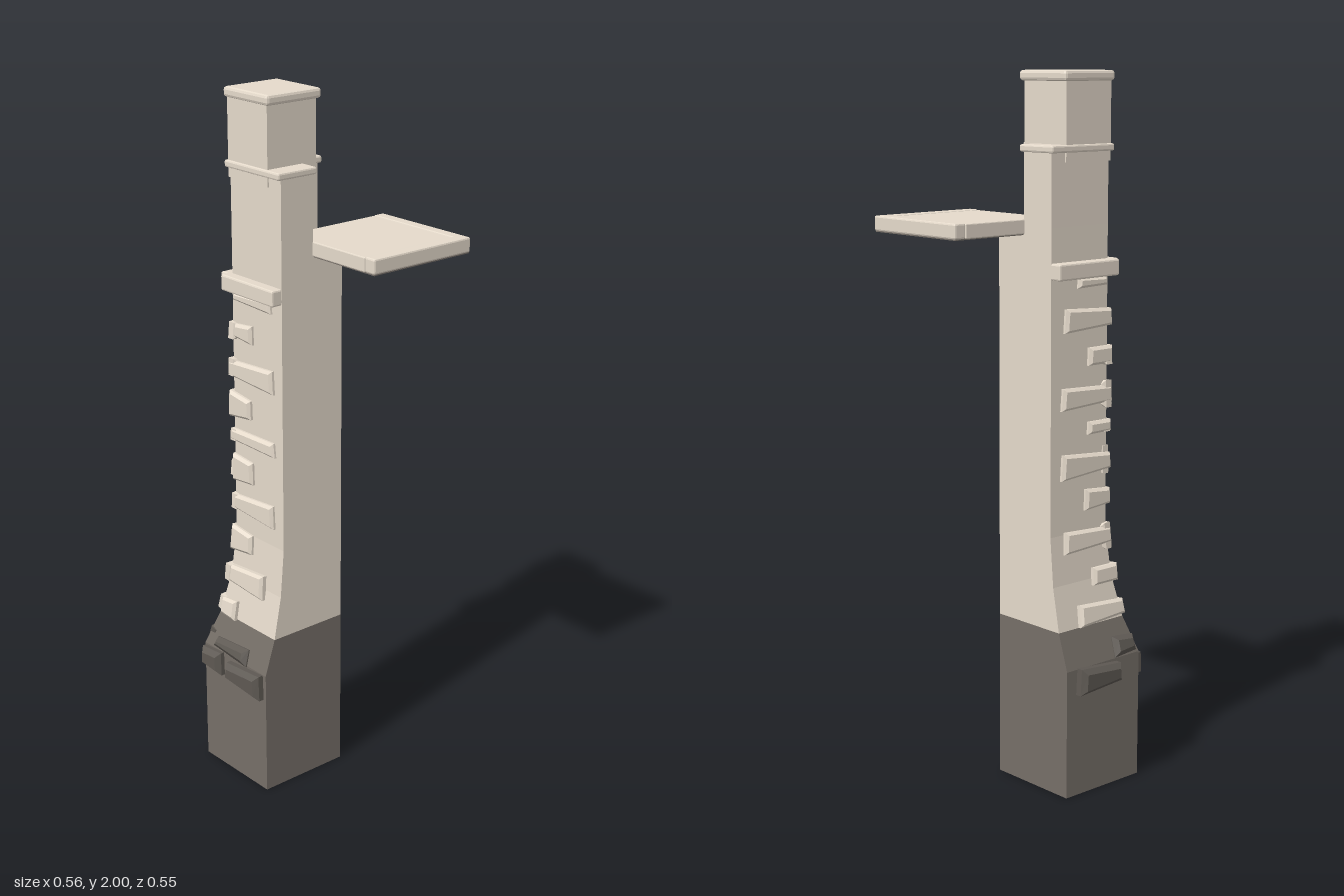
import * as THREE from 'three';
import { RoundedBoxGeometry } from 'three/addons/geometries/RoundedBoxGeometry.js';

// The pillar keeps a fixed back corner; its front and right faces flare out to this reach.
const BACK = 0.035;
const LEVELS = [[0, 0.246], [0.37, 0.246], [0.475, 0.212], [0.6, 0.188], [0.74, 0.176], [1.59, 0.175]];

function reachAt(y) {
  for (let i = 1; i < LEVELS.length; i++) {
    const [y0, a0] = LEVELS[i - 1], [y1, a1] = LEVELS[i];
    if (y <= y1) return { reach: a0 + (a1 - a0) * (y - y0) / (y1 - y0), tilt: Math.atan2(a0 - a1, y1 - y0) };
  }
  return { reach: 0.175, tilt: 0 };
}

// Square sections stacked between levels; group 0 is sides and top, group 1 the underside
function loft(levels) {
  const rings = levels.map(([y, a]) => [[-a, y, a], [BACK, y, a], [BACK, y, -BACK], [-a, y, -BACK]]);
  const pos = [];
  const quad = (a, b, c, d) => pos.push(...a, ...b, ...c, ...a, ...c, ...d);
  for (let i = 1; i < rings.length; i++) {
    for (let j = 0; j < 4; j++) {
      const k = (j + 1) % 4;
      quad(rings[i - 1][j], rings[i - 1][k], rings[i][k], rings[i][j]);
    }
  }
  const top = rings[rings.length - 1], base = rings[0];
  quad(top[0], top[1], top[2], top[3]);
  const split = pos.length / 3;
  quad(base[3], base[2], base[1], base[0]);
  const g = new THREE.BufferGeometry();
  g.setAttribute('position', new THREE.Float32BufferAttribute(pos, 3));
  g.addGroup(0, split, 0);
  g.addGroup(split, 6, 1);
  g.computeVertexNormals();
  return g;
}

// Box with small chamfers given by its limits
function chamferBox(x0, x1, y0, y1, z0, z1, r = 0.005) {
  const g = new RoundedBoxGeometry(x1 - x0, y1 - y0, z1 - z0, 1, r);
  g.translate((x0 + x1) / 2, (y0 + y1) / 2, (z0 + z1) / 2);
  g.computeVertexNormals();
  return g;
}

// Irregular four-sided stone with a sloping, bevelled face
function stoneGeometry(w, hLeft, hRight, depth, bevel) {
  const x = w / 2 - bevel, l = hLeft / 2 - bevel, r = hRight / 2 - bevel;
  const s = new THREE.Shape([
    new THREE.Vector2(-x, -l), new THREE.Vector2(x, -r),
    new THREE.Vector2(x * 0.96, r), new THREE.Vector2(-x * 0.95, l),
  ]);
  const g = new THREE.ExtrudeGeometry(s, {
    depth: 0.02, bevelEnabled: true, bevelSegments: 1, bevelSize: bevel, bevelThickness: bevel,
  });
  g.translate(0, 0, depth - 0.02 - bevel);
  return g;
}

function makeMaterial(name, color) {
  const m = new THREE.MeshStandardMaterial({ color });
  m.name = name;
  return m;
}

export function createModel() {
  const model = new THREE.Group();
  const pale = makeMaterial('pale stone', 0xe5dacb);
  const dark = makeMaterial('dark stone', 0x766f68);
  const rubble = makeMaterial('dark rubble', 0x5e5953);
  const shade = makeMaterial('blackened underside', 0x2e2d2c);

  const add = (name, geometry, material = pale, parent = model) => {
    const m = new THREE.Mesh(geometry, material);
    m.name = name;
    parent.add(m);
    return m;
  };

  // Dark base and pale shaft
  add('base', loft(LEVELS.slice(0, 3)), [dark, shade]);
  add('shaft', loft(LEVELS.slice(2)), [pale, pale]);

  // L-shaped upper shaft wrapping the corner of the slab
  const a = 0.175, n = 0.066;
  const ell = new THREE.Shape([[-a, -a], [BACK, -a], [BACK, -n], [-n, -n], [-n, BACK], [-a, BACK]]
    .map(([x, y]) => new THREE.Vector2(x, y)));
  const upper = new THREE.ExtrudeGeometry(ell, { depth: 0.21, bevelEnabled: false });
  upper.rotateX(-Math.PI / 2);
  upper.translate(0, 1.585, 0);
  add('upperShaft', upper);

  // Trim on top of the L, then the head block and its cap
  add('sideTrim', chamferBox(-0.187, -0.056, 1.786, 1.806, -0.043, 0.187));
  add('frontTrim', chamferBox(-0.187, 0.04, 1.786, 1.806, 0.056, 0.187));
  const head = new THREE.BoxGeometry(0.165, 0.22, 0.165);
  head.translate(-0.0965, 1.87, 0.0965);
  add('headBlock', head);
  add('cap', chamferBox(-0.187, -0.003, 1.972, 2, 0.003, 0.187, 0.008));

  // Corner slab with a rim on its two outer sides and a dark underside
  add('slabPanel', chamferBox(-0.068, 0.241, 1.566, 1.606, -0.241, 0.068, 0.003));
  add('slabSideRim', chamferBox(0.241, 0.278, 1.566, 1.608, -0.278, 0.068));
  add('slabBackRim', chamferBox(-0.068, 0.278, 1.566, 1.608, -0.278, -0.241));
  const underside = new THREE.BoxGeometry(0.34, 0.004, 0.34);
  underside.translate(0.105, 1.5655, -0.105);
  add('slabUnderside', underside, dark);

  // Bands around the two decorated faces
  add('frontBand', chamferBox(-0.188, 0.033, 1.45, 1.495, 0.165, 0.206));
  add('sideBand', chamferBox(-0.21, -0.165, 1.45, 1.495, -0.035, 0.188));

  // Stones: [start, end, centre y, left height, right height, depth]
  const frontStones = [
    [-0.165, -0.005, 1.435, 0.025, 0.035, 0.014],
    [-0.16, -0.085, 1.338, 0.04, 0.052, 0.014],
    [-0.19, 0.003, 1.225, 0.046, 0.066, 0.015],
    [-0.19, -0.095, 1.12, 0.076, 0.056, 0.015],
    [-0.185, 0.006, 1.03, 0.036, 0.042, 0.014],
    [-0.18, -0.09, 0.932, 0.08, 0.066, 0.014],
    [-0.175, 0, 0.828, 0.044, 0.068, 0.014],
    [-0.19, -0.095, 0.713, 0.076, 0.058, 0.015],
    [-0.18, -0.03, 0.605, 0.052, 0.072, 0.02],
    [-0.2, -0.135, 0.5, 0.05, 0.058, 0.018],
    [-0.2, -0.05, 0.39, 0.035, 0.05, 0.018],
    [-0.245, -0.155, 0.335, 0.06, 0.07, 0.026],
    [-0.13, 0.025, 0.33, 0.055, 0.075, 0.03],
  ];
  const sideStones = [
    [0.06, 0.17, 1.435, 0.03, 0.025, 0.012],
    [0.01, 0.188, 1.335, 0.066, 0.048, 0.015],
    [0.1, 0.19, 1.23, 0.05, 0.05, 0.015],
    [0, 0.19, 1.12, 0.062, 0.046, 0.015],
    [0.1, 0.188, 1.03, 0.036, 0.034, 0.014],
    [0, 0.188, 0.93, 0.072, 0.046, 0.015],
    [0.09, 0.188, 0.828, 0.06, 0.046, 0.014],
    [0.01, 0.19, 0.715, 0.062, 0.046, 0.015],
    [0.11, 0.205, 0.605, 0.05, 0.05, 0.018],
    [0.04, 0.215, 0.505, 0.062, 0.044, 0.018],
    [0.15, 0.235, 0.4, 0.06, 0.05, 0.016],
    [0, 0.16, 0.335, 0.075, 0.055, 0.032],
  ];
  const addStones = (name, list) => {
    const group = new THREE.Group();
    group.name = name;
    for (const [u0, u1, y, hl, hr, d] of list) {
      const isDark = y < 0.47;
      const { reach, tilt } = reachAt(y);
      const g = stoneGeometry(u1 - u0, hl, hr, d, isDark ? 0.014 : 0.008);
      const stone = add('stone', g, isDark ? rubble : pale, group);
      stone.position.set((u0 + u1) / 2, y, reach);
      stone.rotation.x = -tilt;
    }
    model.add(group);
    return group;
  };
  addStones('frontStones', frontStones);
  addStones('sideStones', sideStones).rotation.y = -Math.PI / 2;

  return model;
}
